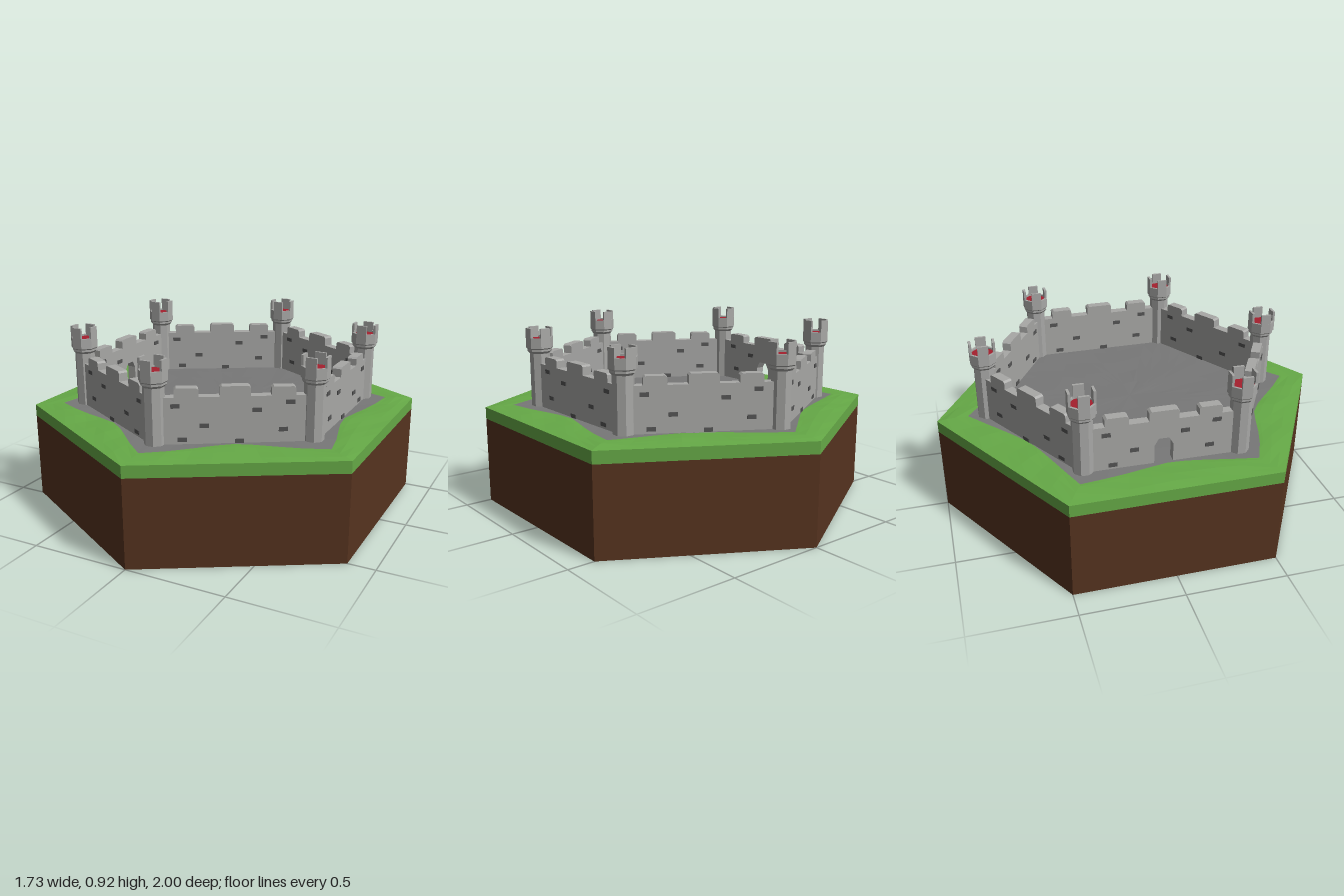
import * as THREE from 'three';

const mat = (color, side = THREE.FrontSide) => new THREE.MeshStandardMaterial({ color, side, flatShading: true });
const stone = mat(0xa8a8a6), brick = mat(0x555555), red = mat(0xa51f2e), soil = mat(0x56331f);
const grassMat = mat(0x66aa47), yardMat = mat(0x787878);
const GROUND = 0.5;

function add(parent, name, geometry, material, x = 0, y = 0, z = 0) {
  const mesh = new THREE.Mesh(geometry, material);
  mesh.name = name;
  mesh.position.set(x, y, z);
  parent.add(mesh);
  return mesh;
}

// Outlines in polar form, angle measured from +z
const fold = a => ((a % (Math.PI / 3)) + Math.PI / 3) % (Math.PI / 3) - Math.PI / 6;
const hexRadius = a => Math.cos(Math.PI / 6) / Math.cos(fold(a));
const yardRadius = a => 0.662 + 0.19 * Math.pow(Math.abs(fold(a)) / (Math.PI / 6), 1.7) + 0.008 * Math.sin(7 * a + 1);

// Faceted ground sheet between two polar outlines
function sheet(inner, outer, rings, height) {
  const segs = 48, pos = [], index = [];
  for (let i = 0; i <= rings; i++) {
    for (let j = 0; j <= segs; j++) {
      const a = (j % segs) / segs * Math.PI * 2;
      const r = THREE.MathUtils.lerp(inner(a), outer(a), i / rings);
      const x = r * Math.sin(a), z = r * Math.cos(a);
      pos.push(x, height(x, z, i / rings), z);
      if (i < rings && j < segs) {
        const p = i * (segs + 1) + j, q = p + segs + 1;
        index.push(p, q, q + 1);
        if (i > 0 || inner(a) > 0) index.push(p, q + 1, p + 1);
      }
    }
  }
  const g = new THREE.BufferGeometry();
  g.setAttribute('position', new THREE.Float32BufferAttribute(pos, 3));
  g.setIndex(index);
  g.computeVertexNormals();
  return g;
}

// Octagonal tower with a flared head, four merlons and a red floor
function makeTower(height) {
  const tower = new THREE.Group();
  tower.name = 'tower';
  const profile = [[0.051, 0], [0.051, 0.28], [0.062, 0.292], [0.062, 0.302], [0.068, 0.308],
    [0.068, 0.36], [0.056, 0.36], [0.056, 0.335]].map(([r, y]) => new THREE.Vector2(r, y));
  const body = add(tower, 'towerBody', new THREE.LatheGeometry(profile, 8), stone);
  body.rotation.y = Math.PI / 8;
  const floor = add(tower, 'towerFloor', new THREE.CylinderGeometry(0.057, 0.057, 0.01, 8), red, 0, 0.347, 0);
  floor.rotation.y = Math.PI / 8;
  const rise = height - 0.358;
  for (let k = 0; k < 4; k++) {
    const a = k * Math.PI / 2;
    const merlon = add(tower, 'towerMerlon', new THREE.BoxGeometry(0.052, rise, 0.012), stone,
      0.0568 * Math.sin(a), 0.358 + rise / 2, 0.0568 * Math.cos(a));
    merlon.rotation.y = a;
  }
  return tower;
}

const BRICKS = [[-0.27, 0.19], [-0.14, 0.095], [0.02, 0.018], [0.1, 0.165], [0.25, 0.2], [0.22, 0.07], [-0.24, 0.03]];

// Crenellated wall of a given length, optionally pierced by a gate
function makeWall(length, gate, flip) {
  const wall = new THREE.Group();
  wall.name = 'wall';
  const h = length / 2, low = 0.23, thick = 0.046;
  const s = new THREE.Shape();
  s.moveTo(-h, -0.01);
  if (gate) {
    for (const [x, y] of [[-0.045, -0.01], [-0.045, 0.1], [-0.025, 0.135], [0.025, 0.135], [0.045, 0.1], [0.045, -0.01]]) s.lineTo(x, y);
  }
  s.lineTo(h, -0.01);
  s.lineTo(h, low);
  for (const [right, left, top] of [[0.275, 0.165, 0.272], [0.07, -0.07, 0.278], [-0.165, -0.275, 0.272]]) {
    s.lineTo(right, low);
    s.lineTo(right, top - 0.008);
    s.lineTo(right - 0.01, top);
    s.lineTo(left + 0.01, top);
    s.lineTo(left, top - 0.008);
    s.lineTo(left, low);
  }
  s.lineTo(-h, low);
  add(wall, 'wallBody', new THREE.ExtrudeGeometry(s, { depth: thick, bevelEnabled: false }), stone, 0, 0, -thick / 2);
  for (const [u, y] of BRICKS) {
    if (gate && Math.abs(u) < 0.07) continue;
    add(wall, 'darkBrick', new THREE.BoxGeometry(0.042, 0.02, thick + 0.008), brick, u * flip, y, 0);
  }
  return wall;
}

export function createModel() {
  const model = new THREE.Group();
  model.name = 'hexagonalCastle';

  // Soil block and grass rim
  add(model, 'soil', new THREE.CylinderGeometry(1, 1, 0.44, 6), soil, 0, 0.22, 0);
  add(model, 'grassEdge', new THREE.CylinderGeometry(1, 1, 0.06, 6, 1, true), grassMat, 0, 0.47, 0);

  // Uneven grass and paved yard
  const bump = (x, z) => Math.sin(17 * x + 5 * z) * Math.cos(13 * z - 4 * x);
  add(model, 'grass', sheet(a => yardRadius(a) - 0.03, hexRadius, 4,
    (x, z, t) => GROUND + (1 - t) * 0.004 + Math.sin(Math.PI * t) * 0.004 * (1 + bump(x, z))), grassMat);
  add(model, 'yard', sheet(() => 0, yardRadius, 5,
    (x, z, t) => GROUND + 0.008 + (1 - t) * 0.004 * bump(x, z)), yardMat);

  // Towers at the corners, joined by walls
  const corners = [[0, 0.72, 0.41], [0.625, 0.345, 0.408], [0.62, -0.385, 0.405],
    [-0.005, -0.745, 0.412], [-0.625, -0.385, 0.42], [-0.635, 0.36, 0.415]];
  corners.forEach(([x, z, height], i) => {
    const tower = makeTower(height);
    tower.position.set(x, GROUND, z);
    model.add(tower);

    const [nx, nz] = corners[(i + 1) % 6];
    const wall = makeWall(Math.hypot(nx - x, nz - z) - 0.06, i === 4, i % 2 ? -1 : 1);
    wall.position.set((x + nx) / 2, GROUND, (z + nz) / 2);
    wall.rotation.y = Math.atan2(-(nz - z), nx - x);
    model.add(wall);
  });
  return model;
}
